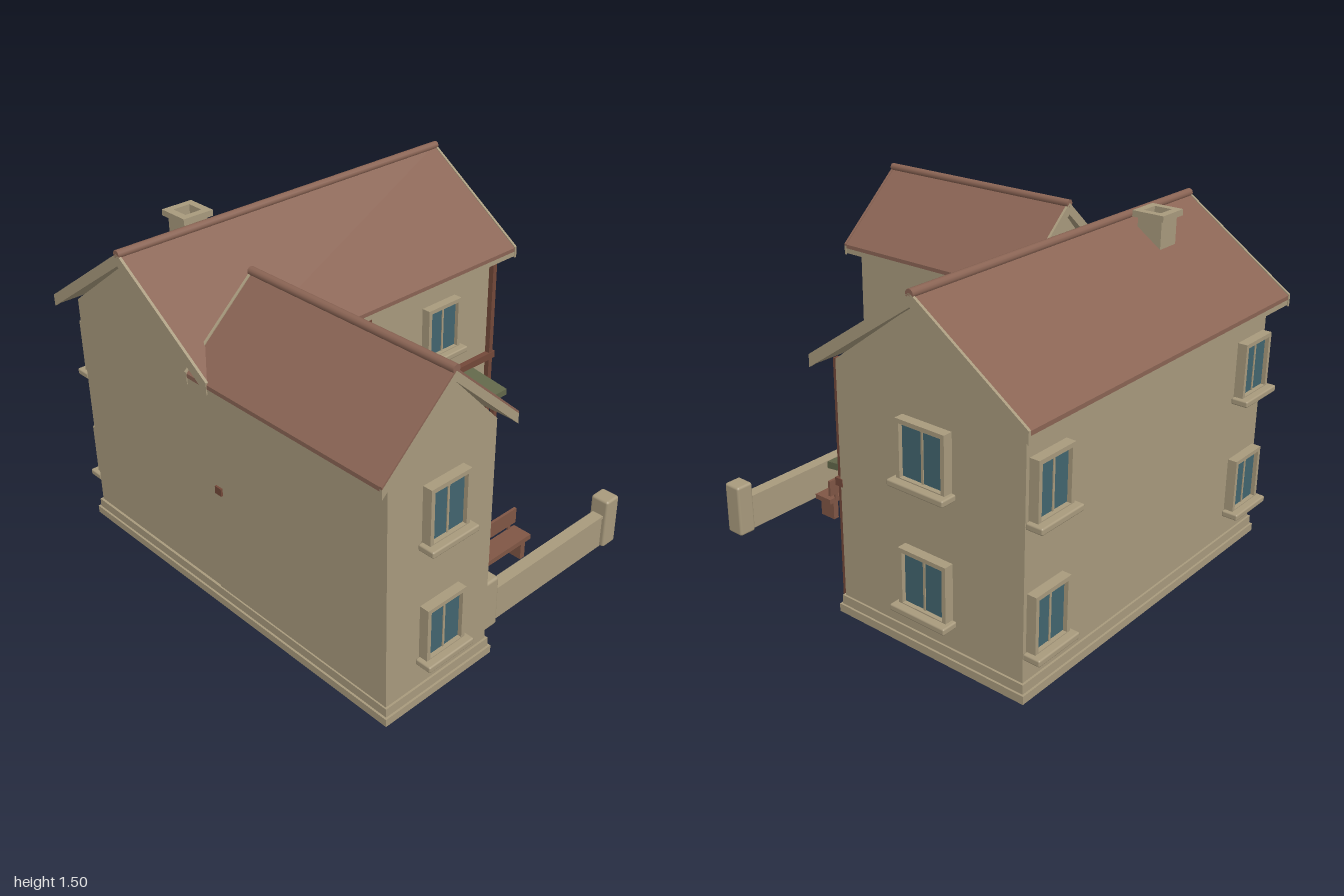
import * as THREE from 'three';
import { RoundedBoxGeometry } from 'three/addons/geometries/RoundedBoxGeometry.js';

const mat = (name, color) => Object.assign(new THREE.MeshStandardMaterial({ color }), { name });

export function createModel() {
  const model = new THREE.Group();
  model.name = 'house';
  const stone = mat('stone', 0xa89a7d);
  const tile = mat('roof tile', 0x8a6454);
  const timber = mat('dark timber', 0x734839);
  const bench = mat('bench wood', 0x805645);
  const glass = mat('blue glass', 0x42656f);
  const doorBlue = mat('door blue', 0x3c616c);
  const green = mat('awning green', 0x62674a);

  const add = (name, geo, material, x = 0, y = 0, z = 0, parent = model) => {
    const mesh = new THREE.Mesh(geo, material);
    mesh.name = name;
    mesh.position.set(x, y, z);
    parent.add(mesh);
    return mesh;
  };
  // Box given by its minimum and maximum on each axis
  const span = (name, material, [x0, x1], [y0, y1], [z0, z1], parent = model) =>
    add(name, new THREE.BoxGeometry(x1 - x0, y1 - y0, z1 - z0), material,
      (x0 + x1) / 2, (y0 + y1) / 2, (z0 + z1) / 2, parent);
  const polygon = pts => new THREE.Shape(pts.map(p => new THREE.Vector2(...p)));
  const extrude = (shape, depth) =>
    new THREE.ExtrudeGeometry(shape, { depth, bevelEnabled: false, curveSegments: 20 });

  // Plinth: two stepped L-shaped courses
  const plinth = (m, y0, y1) => {
    const geo = extrude(polygon([
      [-0.812 - m, -0.925 - m], [-0.265 + m, -0.925 - m], [-0.265 + m, 0.02 - m],
      [0.81 + m, 0.02 - m], [0.81 + m, 0.922 + m], [-0.812 - m, 0.922 + m],
    ]), y1 - y0);
    geo.rotateX(-Math.PI / 2);
    add('plinth', geo, stone, 0, y0, 0);
  };
  plinth(0.018, 0, 0.035);
  plinth(0.009, 0.035, 0.075);

  // A gabled wing, extruded along its local z from 0 to its length
  const gableWall = (half, eave, apex) =>
    polygon([[-half, 0.02], [half, 0.02], [half, eave], [0, apex], [-half, eave]]);
  const chevron = (half, eave, apex, t) => polygon([
    [-half, eave], [-half, eave - t], [0, apex - t], [half, eave - t], [half, eave], [0, apex],
  ]);
  function wing(name, w) {
    const g = new THREE.Group();
    g.name = name;
    add('walls', extrude(gableWall(w.wall, 1.095, w.apex - 0.035), w.wallEnd - w.wallStart),
      stone, 0, 0, w.wallStart, g);
    const len = w.end - w.start, b = 0.012;
    add('roof tiles', extrude(chevron(w.half, w.eave, w.apex, 0.018), len - 2 * b),
      tile, 0, 0, w.start + b, g);
    add('soffit', extrude(chevron(w.half - 0.002, w.eave - 0.018, w.apex - 0.018, 0.024), len - 2 * b),
      stone, 0, 0, w.start + b, g);
    for (const z of [w.start, w.end - b]) {
      add('bargeboard', extrude(chevron(w.half + 0.002, w.eave - 0.006, w.apex - 0.006, 0.042), b),
        stone, 0, 0, z, g);
      add('roof edge', extrude(chevron(w.half + 0.002, w.eave + 0.004, w.apex + 0.004, 0.01), b),
        z < 0 || w.allEdges ? stone : tile, 0, 0, z, g);
    }
    const ridge = new THREE.CylinderGeometry(0.018, 0.018, len, 12);
    ridge.rotateX(Math.PI / 2);
    add('ridge cap', ridge, tile, 0, w.apex, (w.start + w.end) / 2, g);
    model.add(g);
    return g;
  }
  const mainHouse = wing('main house', {
    wall: 0.451, wallStart: -0.81, wallEnd: 0.81, half: 0.513, eave: 1.115, apex: 1.468,
    start: -0.883, end: 0.883, allEdges: true,
  });
  mainHouse.rotation.y = Math.PI / 2;
  mainHouse.position.z = -0.471;
  wing('front wing', {
    wall: 0.274, wallStart: -0.05, wallEnd: 0.925, half: 0.34, eave: 1.11, apex: 1.42,
    start: -0.088, end: 0.967,
  }).position.x = -0.54;

  // Chimney with an open flue
  const ring = (size, hole) => {
    const s = size / 2, h = hole / 2;
    const shape = polygon([[-s, -s], [s, -s], [s, s], [-s, s]]);
    shape.holes.push(polygon([[-h, -h], [-h, h], [h, h], [h, -h]]));
    return shape;
  };
  const flue = (name, size, y0, y1) => {
    const geo = extrude(ring(size, 0.08), y1 - y0);
    geo.rotateX(-Math.PI / 2);
    add(name, geo, stone, -0.46, y0, -0.582);
  };
  flue('chimney stack', 0.112, 1.3, 1.472);
  flue('chimney cap', 0.146, 1.472, 1.498);

  // Windows: surround, two panes, mullion and sill, built facing +z
  function addWindow(x, y, z, turn = 0, width = 0.205) {
    const g = new THREE.Group();
    g.name = 'window';
    const w = width / 2, h = 0.126, e = 0.018;
    const frame = polygon([[-w, -h], [w, -h], [w, h], [-w, h]]);
    frame.holes.push(polygon([[-w + e, -h + e], [-w + e, h - e], [w - e, h - e], [w - e, -h + e]]));
    add('window surround', extrude(frame, 0.042), stone, 0, 0, 0, g);
    for (const s of [-1, 1])
      add('window pane', new THREE.BoxGeometry(w - e - 0.006, 2 * (h - e) - 0.004, 0.009),
        glass, s * (w - e + 0.004) / 2, 0, 0.02, g);
    span('mullion', stone, [-0.005, 0.005], [-h + e, h - e], [0, 0.028], g);
    add('window sill', new RoundedBoxGeometry(width + 0.038, 0.028, 0.075, 2, 0.007),
      stone, 0, -h, 0.0375, g);
    g.position.set(x, y, z);
    g.rotation.y = turn;
    model.add(g);
  }
  for (const y of [0.315, 0.845]) {
    addWindow(-0.54, y + 0.014, 0.925);
    for (const x of [-0.147, 0.443]) addWindow(x, y, -0.02);
    addWindow(0.81, y, -0.475, Math.PI / 2, 0.235);
    for (const x of [-0.69, 0.69]) addWindow(x, y, -0.922, Math.PI);
  }

  // Arched door and its stone surround
  const arch = (r, y0, cy) => {
    const s = new THREE.Shape();
    s.moveTo(-r, y0);
    s.lineTo(r, y0);
    s.lineTo(r, cy);
    s.absarc(0, cy, r, 0, Math.PI, false);
    s.lineTo(-r, y0);
    return s;
  };
  const surround = arch(0.129, 0.035, 0.352);
  surround.holes.push(arch(0.103, 0.036, 0.352));
  add('door surround', extrude(surround, 0.045), stone, 0.207, 0, -0.02);
  add('door', extrude(arch(0.103, 0.036, 0.352), 0.028), doorBlue, 0.207, 0, -0.02);
  span('door upper panel', doorBlue, [0.15, 0.264], [0.21, 0.35], [0.008, 0.014]);
  span('door lower panel', doorBlue, [0.15, 0.264], [0.06, 0.17], [0.008, 0.027]);
  span('doorstep', stone, [0.07, 0.344], [0, 0.036], [-0.02, 0.09]);

  // Timber posts and beam on the front wall
  for (const x of [-0.003, 0.787])
    span('wall post', timber, [x - 0.012, x + 0.012], [0.03, 1.09], [-0.03, 0.005]);
  span('wall beam', timber, [-0.823, 0.813], [0.562, 0.596], [-0.03, 0.008]);

  // Sloping porch awning on two posts
  const awning = extrude(polygon([
    [0.01, 0.535], [0.01, 0.567], [-0.216, 0.537], [-0.216, 0.507],
  ]), 0.72);
  awning.rotateY(Math.PI / 2);
  add('porch awning', awning, green, -0.06, 0, 0);
  for (const x of [-0.003, 0.603])
    span('porch post', timber, [x - 0.011, x + 0.011], [0, 0.52], [0.182, 0.204]);

  // Benches with slab legs and a raised backrest
  function addBench(x0, x1, back) {
    const g = new THREE.Group();
    g.name = 'bench';
    span('bench seat', bench, [x0, x1], [0.088, 0.112], [back, back + 0.095], g);
    span('bench backrest', bench, [x0, x1], [0.132, 0.207], [back - 0.005, back + 0.008], g);
    for (const x of [x0 + 0.04, x1 - 0.04]) {
      span('bench leg', bench, [x - 0.014, x + 0.014], [0, 0.09], [back + 0.006, back + 0.088], g);
      span('backrest support', bench, [x - 0.008, x + 0.008], [0.1, 0.14], [back - 0.003, back + 0.006], g);
    }
    model.add(g);
  }
  addBench(0.01, 0.348, 0.555);
  addBench(0.37, 0.59, 0.098);

  // Garden wall between two pillars
  span('garden wall', stone, [-0.11, 0.63], [0, 0.155], [0.78, 0.826]);
  span('garden wall coping', stone, [-0.11, 0.63], [0.152, 0.165], [0.775, 0.831]);
  for (const x of [-0.14, 0.662])
    add('garden pillar', new RoundedBoxGeometry(0.084, 0.243, 0.09, 2, 0.012), stone, x, 0.1215, 0.803);

  return model;
}
